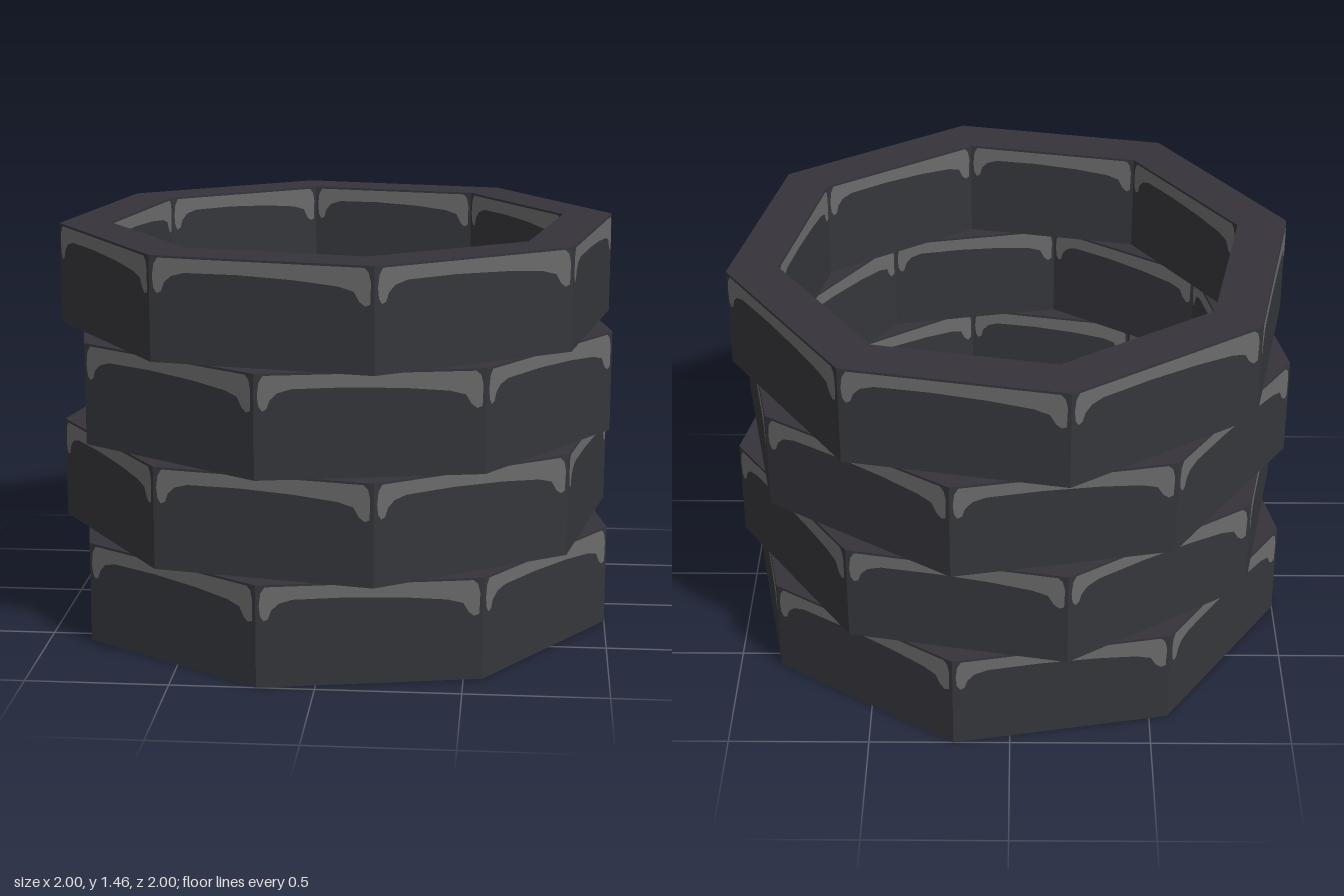
import * as THREE from 'three';

const SIDES = 8, STEP = Math.PI * 2 / SIDES;
const OUTER = 1.02, INNER = 0.836, HEIGHT = 0.365, ROWS = 4;
const TWIST = THREE.MathUtils.degToRad(11.3);

// Corners run counter-clockwise so that both walls of the ring face outwards
const octagon = (radius, start) => Array.from({ length: SIDES }, (_, i) => {
  const a = start - i * STEP;
  return new THREE.Vector2(radius * Math.cos(a), -radius * Math.sin(a));
});

// One course of stones: an octagonal ring with a hole
function courseGeometry(start) {
  const shape = new THREE.Shape(octagon(OUTER, start));
  shape.holes.push(new THREE.Path(octagon(INNER, start)));
  const geo = new THREE.ExtrudeGeometry(shape, { depth: HEIGHT, bevelEnabled: false });
  return geo.rotateX(-Math.PI / 2);
}

// Worn pale edge along the top of a stone: [across, depth] as fractions of the face
const WORN_EDGE = [
  [0.04, 0.02], [0.022, 0.08], [0.015, 0.2], [0.02, 0.3], [0.035, 0.35], [0.055, 0.33],
  [0.068, 0.25], [0.1, 0.185], [0.16, 0.15], [0.4, 0.145], [0.65, 0.165], [0.84, 0.2],
  [0.91, 0.24], [0.935, 0.33], [0.96, 0.37], [0.982, 0.35], [0.985, 0.15], [0.975, 0.06], [0.955, 0.02],
];

// Flat plate facing +z, set at the given distance from the axis
function wornEdgeGeometry(radius, distance) {
  const width = 2 * radius * Math.sin(STEP / 2);
  const points = WORN_EDGE.map(([u, d]) => new THREE.Vector2((u - 0.5) * width, (1 - d) * HEIGHT));
  return new THREE.ShapeGeometry(new THREE.Shape(points)).translate(0, 0, distance);
}

function makeMaterial(name, color) {
  const material = new THREE.MeshStandardMaterial({ color });
  material.name = name;
  return material;
}

export function createModel() {
  const model = new THREE.Group();
  model.name = 'stoneWell';
  const bed = makeMaterial('stone bed', 0x35333a);
  const face = makeMaterial('stone face', 0x35363b);
  const worn = makeMaterial('worn stone edge', 0x6b6b6b);

  const apothem = Math.cos(STEP / 2);
  const outerEdge = wornEdgeGeometry(OUTER, OUTER * apothem + 0.002);
  const innerEdge = wornEdgeGeometry(INNER, -(INNER * apothem - 0.002));

  for (let row = 0; row < ROWS; row++) {
    // Alternate courses are turned so that the joints are staggered
    const start = Math.PI / 2 + (row % 2 ? -TWIST : TWIST);
    const course = new THREE.Group();
    course.name = `course${row + 1}`;
    course.position.y = row * HEIGHT;
    // Flat beds above and below, then the outer and inner walls
    const ring = new THREE.Mesh(courseGeometry(start), [bed, face]);
    ring.name = 'stoneRing';
    course.add(ring);

    for (let i = 0; i < SIDES; i++) {
      const turn = Math.PI / 2 - (start + (i + 0.5) * STEP);
      const outside = new THREE.Mesh(outerEdge, worn);
      outside.name = 'outerWornEdge';
      outside.rotation.y = turn;
      const inside = new THREE.Mesh(innerEdge, worn);
      inside.name = 'innerWornEdge';
      inside.rotation.y = turn + Math.PI;
      course.add(outside, inside);
    }
    model.add(course);
  }
  return model;
}
